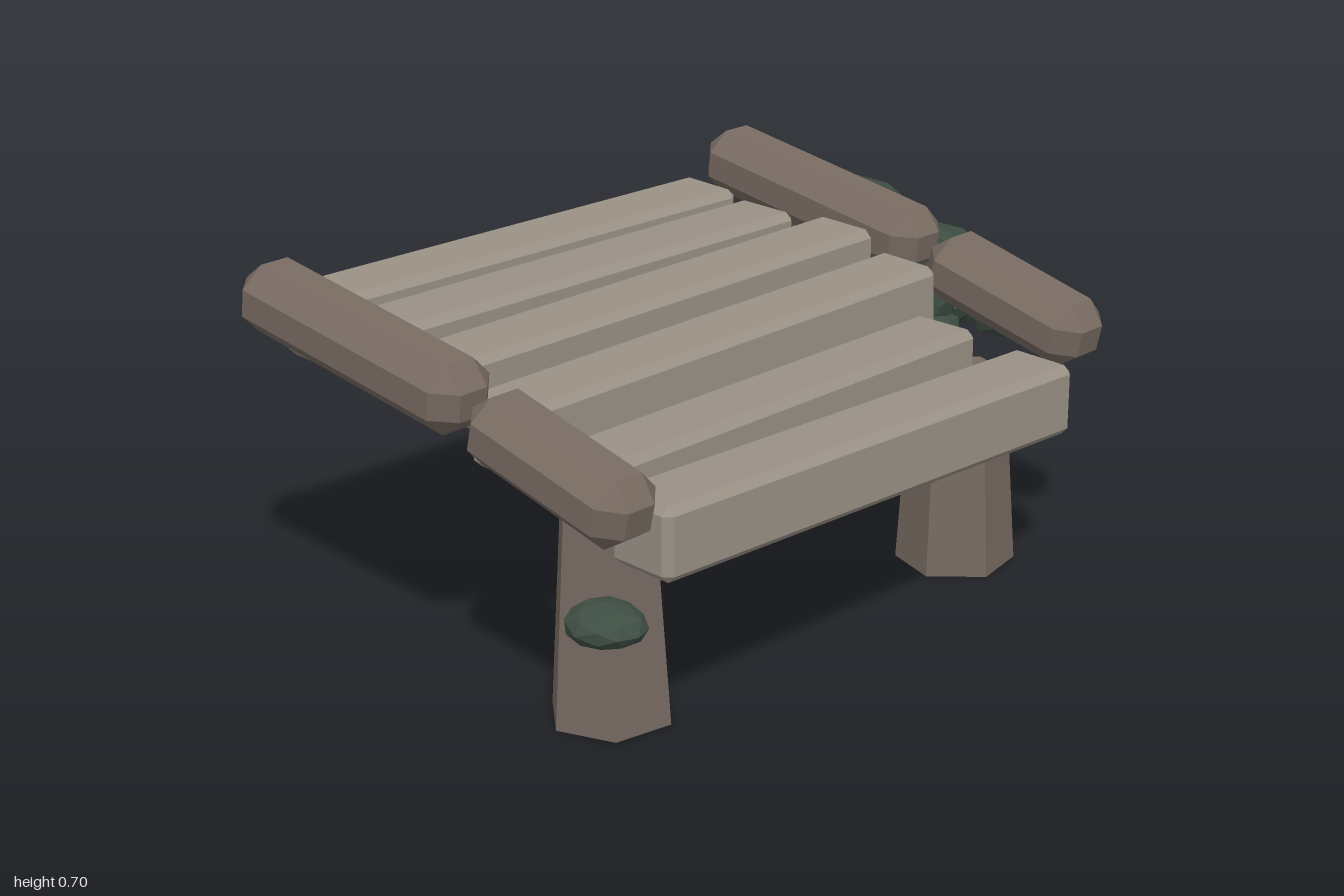
import * as THREE from 'three';
import { ConvexGeometry } from 'three/addons/geometries/ConvexGeometry.js';

// box with every edge and corner cut flat
function chamferBox(w, h, d, c) {
  const pts = [];
  for (const sx of [-1, 1]) for (const sy of [-1, 1]) for (const sz of [-1, 1]) {
    for (let full = 0; full < 3; full++) {
      const half = [w / 2, h / 2, d / 2].map((v, i) => (i === full ? v : v - c));
      pts.push(new THREE.Vector3(sx * half[0], sy * half[1], sz * half[2]));
    }
  }
  return new ConvexGeometry(pts);
}

// faceted lump, slightly uneven; shared corners move together
function lump(rx, ry, rz, seed) {
  const geo = new THREE.IcosahedronGeometry(1, 1);
  const p = geo.attributes.position;
  const v = new THREE.Vector3();
  for (let i = 0; i < p.count; i++) {
    v.fromBufferAttribute(p, i);
    const wobble = Math.sin(v.x * 5.1 + seed * 1.7) + Math.sin(v.y * 4.3 + seed * 2.9) + Math.sin(v.z * 4.7 + seed);
    v.multiplyScalar(1.0 + 0.025 * wobble);
    p.setXYZ(i, v.x * rx, v.y * ry, v.z * rz);
  }
  geo.computeVertexNormals();
  return geo;
}

export function createModel() {
  const model = new THREE.Group();
  model.name = 'brokenFootbridge';
  const make = (color, name) => {
    const m = new THREE.MeshStandardMaterial({ color, flatShading: true });
    m.name = name;
    return m;
  };
  const plankWood = make(0x9a9186, 'paleWood');
  const beamWood = make(0x776a61, 'darkWood');
  const leaf = make(0x3e4e43, 'darkGreen');

  const add = (parent, name, geo, mat, x, y, z) => {
    const mesh = new THREE.Mesh(geo, mat);
    mesh.name = name;
    mesh.position.set(x, y, z);
    parent.add(mesh);
    return mesh;
  };

  // deck planks, each from its back end to its front end
  const deck = new THREE.Group();
  deck.name = 'deck';
  model.add(deck);
  const planks = [
    [[-0.357, 0.55, -0.21], [-0.408, 0.552, 0.81]],
    [[-0.21, 0.53, -0.22], [-0.213, 0.547, 0.78]],
    [[-0.03, 0.525, -0.26], [-0.057, 0.518, 0.78]],
    [[0.152, 0.495, -0.24], [0.1, 0.47, 0.81]],
    [[0.28, 0.405, -0.2], [0.307, 0.425, 0.8]],
    [[0.487, 0.375, -0.24], [0.457, 0.393, 0.81]],
  ];
  planks.forEach(([a, b], i) => {
    const back = new THREE.Vector3(...a);
    const dir = new THREE.Vector3(...b).sub(back);
    const mid = back.clone().addScaledVector(dir, 0.5);
    const geo = chamferBox(0.146, 0.138, dir.length(), 0.015);
    const mesh = add(deck, 'plank' + (i + 1), geo, plankWood, mid.x, mid.y, mid.z);
    mesh.rotation.order = 'YXZ';
    mesh.rotation.y = Math.atan2(dir.x, dir.z);
    mesh.rotation.x = -Math.asin(dir.y / dir.length());
  });

  // side beams: a long and a short one at each end of the planks
  for (const [side, z, yaw] of [['front', 0.878, 0], ['back', -0.318, -0.02]]) {
    const long = add(model, side + 'LongBeam', chamferBox(0.585, 0.132, 0.14, 0.04), beamWood, -0.16, 0.602, z);
    long.rotation.set(0, yaw, -0.134);
    const short = add(model, side + 'ShortBeam', chamferBox(0.385, 0.132, 0.14, 0.04), beamWood, 0.344, 0.507, z);
    short.rotation.set(0, 0, -0.231);
  }

  // six-sided tapering posts
  for (const [name, z, turn] of [['frontPost', 0.752, -10], ['backPost', -0.183, 12]]) {
    const post = add(model, name, new THREE.CylinderGeometry(0.091, 0.116, 0.388, 6), beamWood, 0.323, 0.194, z);
    post.rotation.y = THREE.MathUtils.degToRad(turn);
  }

  // bush behind the deck: centre, then radii
  const bush = new THREE.Group();
  bush.name = 'bush';
  model.add(bush);
  [
    [-0.37, 0.42, -0.6, 0.205, 0.125, 0.2],
    [-0.24, 0.31, -0.69, 0.2, 0.09, 0.2],
    [-0.34, 0.305, -0.88, 0.13, 0.07, 0.12],
    [-0.02, 0.29, -0.76, 0.085, 0.055, 0.11],
    [-0.21, 0.4, -0.58, 0.108, 0.075, 0.115],
    [-0.1, 0.35, -0.54, 0.085, 0.085, 0.11],
    [-0.08, 0.285, -0.52, 0.095, 0.055, 0.105],
    [-0.3, 0.285, -0.56, 0.16, 0.06, 0.14],
  ].forEach(([x, y, z, rx, ry, rz], i) => add(bush, 'bushLump' + (i + 1), lump(rx, ry, rz, i + 1), leaf, x, y, z));

  // small clump at the front left corner
  add(model, 'smallLeafClump', lump(0.075, 0.039, 0.067, 9), leaf, 0.498, 0.288, 0.928);

  return model;
}
